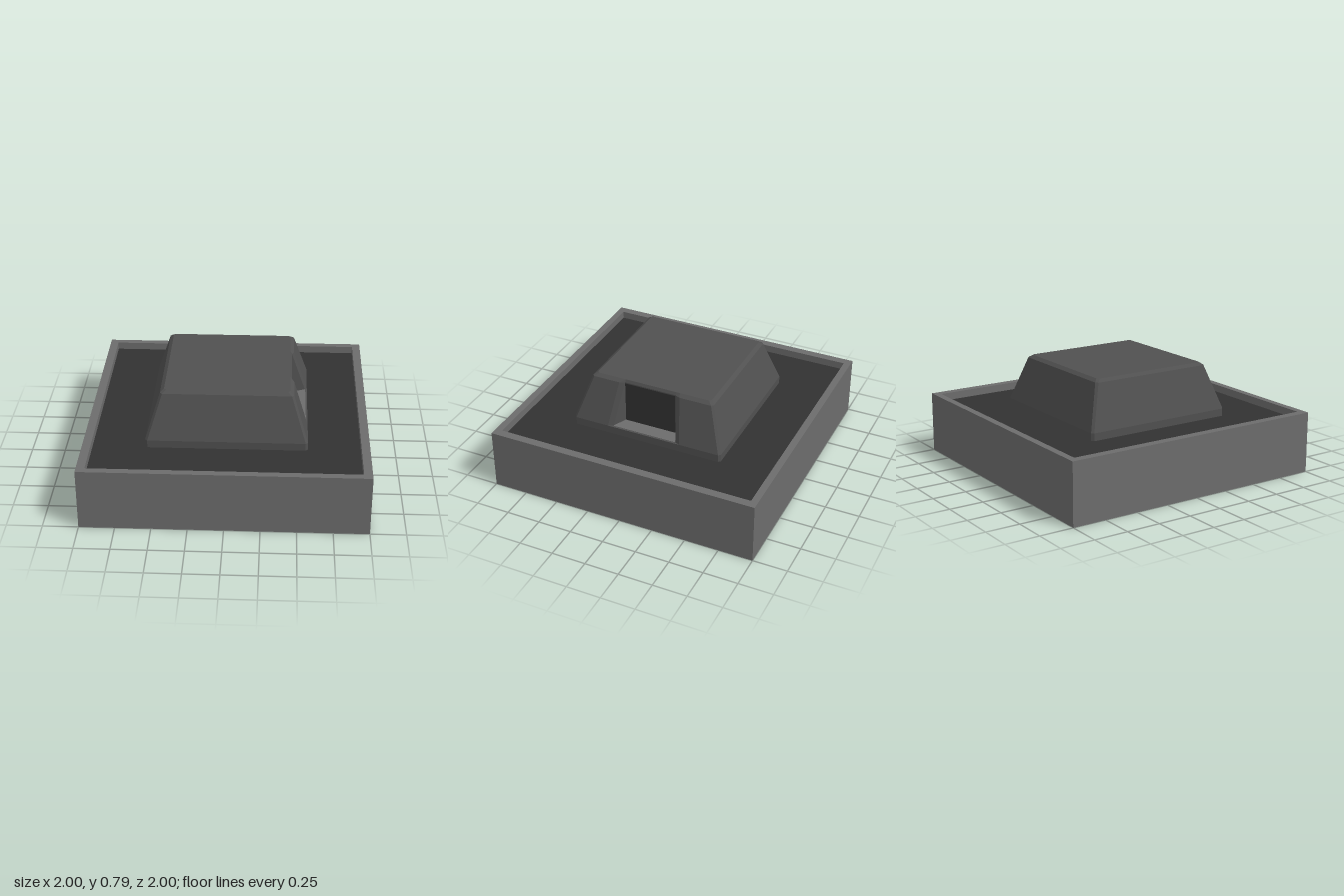
import * as THREE from 'three';

const paint = (color) => new THREE.MeshStandardMaterial({ color, flatShading: true });

// Closed outline at one height: square with clipped corners and a splayed notch on +x
function ring(h, y, notched) {
  const c = 0.016, mid = 0.02;
  const back = notched ? Math.min(h, 0.45) : h;
  const lip = notched ? Math.max(h - 0.015, back) : h;
  const halfAt = (x) => 0.195 + 0.45 * Math.max(0, x - 0.45);
  const outer = halfAt(h) + 0.03;
  const pts = [
    [h, h - c], [h, mid + outer], [lip, mid + halfAt(lip)], [back, mid + halfAt(back)],
    [back, mid - halfAt(back)], [lip, mid - halfAt(lip)], [h, mid - outer], [h, c - h],
    [h - c, -h], [c - h, -h], [-h, c - h], [-h, h - c], [c - h, h], [h - c, h],
  ];
  return pts.map(([x, z]) => [x, y, z]);
}

// Skin a stack of outlines (bottom to top) and close the top with a fan
function loft(rings) {
  const pos = [];
  const n = rings[0].length;
  for (let k = 0; k + 1 < rings.length; k++) {
    for (let i = 0; i < n; i++) {
      const j = (i + 1) % n;
      const [a, b, c, d] = [rings[k][i], rings[k][j], rings[k + 1][j], rings[k + 1][i]];
      pos.push(...a, ...b, ...c, ...a, ...c, ...d);
    }
  }
  const top = rings[rings.length - 1];
  for (let i = 0; i < n; i++) pos.push(0, top[0][1], 0, ...top[i], ...top[(i + 1) % n]);
  const g = new THREE.BufferGeometry();
  g.setAttribute('position', new THREE.Float32BufferAttribute(pos, 3));
  g.computeVertexNormals();
  return g;
}

// Flat outline in x,z raised from y0 to y1
function slab(shape, y0, y1) {
  const g = new THREE.ExtrudeGeometry(shape, { depth: y1 - y0, bevelEnabled: false });
  return g.rotateX(-Math.PI / 2).translate(0, y0, 0);
}

const outline = (pts) => pts.map(([x, z]) => new THREE.Vector2(x, -z));

export function createModel() {
  const model = new THREE.Group();
  const light = paint(0x6c6c6c), medium = paint(0x505050), dark = paint(0x323232);
  const add = (name, geometry, material) => {
    const mesh = new THREE.Mesh(geometry, material);
    mesh.name = name;
    model.add(mesh);
  };

  // Square base with a raised rim around a sunken floor
  add('base', new THREE.BoxGeometry(2, 0.385, 2).translate(0, 0.1925, 0), light);
  const rim = new THREE.Shape(outline([[-1, 1], [1, 1], [1, -1], [-1, -1]]));
  rim.holes.push(new THREE.Path(outline([[-0.94, 0.95], [-0.94, -0.95], [0.94, -0.95], [0.94, 0.95]])));
  add('rim', slab(rim, 0.385, 0.447), light);
  add('sunkenFloor', new THREE.BoxGeometry(1.88, 0.01, 1.9).translate(0, 0.387, 0), dark);

  // Low plinth, then the tapered block with a chamfered top
  add('plinth', loft([ring(0.57, 0.39, false), ring(0.57, 0.447, false)]), medium);
  add('taperedBlock', loft([
    ring(0.57, 0.447, true), ring(0.467, 0.765, true), ring(0.44, 0.785, true),
  ]), medium);

  // Recess in the left side: dark back panel and light sill
  add('recessPanel', new THREE.BoxGeometry(0.01, 0.31, 0.388).translate(0.447, 0.603, 0.02), dark);
  const sill = new THREE.Shape(outline([[0.45, 0.215], [0.558, 0.263], [0.558, -0.223], [0.45, -0.175]]));
  add('recessSill', slab(sill, 0.44, 0.45), light);

  return model;
}
